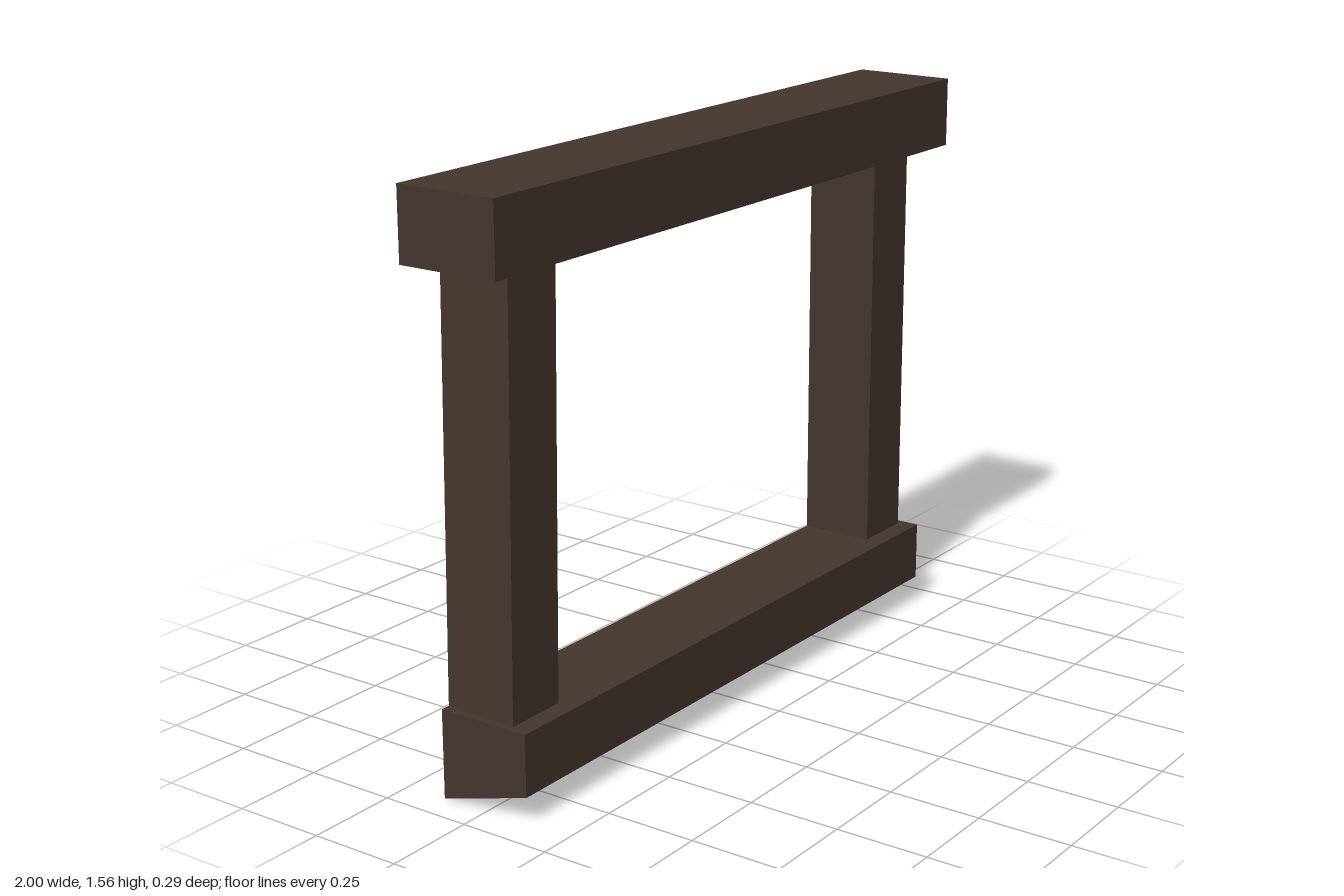
import * as THREE from 'three';

export function createModel() {
  const model = new THREE.Group();
  const wood = new THREE.MeshStandardMaterial({ color: 0x44362e });
  wood.name = 'dark wood';

  // A beam is a box whose corners may be shifted by a rule.
  function beam(name, [x0, x1], [y0, y1], [z0, z1], shift) {
    const geometry = new THREE.BoxGeometry(x1 - x0, y1 - y0, z1 - z0);
    geometry.translate((x0 + x1) / 2, (y0 + y1) / 2, (z0 + z1) / 2);
    if (shift) {
      const pos = geometry.attributes.position;
      const v = new THREE.Vector3();
      for (let i = 0; i < pos.count; i++) {
        v.fromBufferAttribute(pos, i);
        shift(v);
        pos.setXYZ(i, v.x, v.y, v.z);
      }
      geometry.computeVertexNormals();
    }
    const mesh = new THREE.Mesh(geometry, wood);
    mesh.name = name;
    model.add(mesh);
  }

  // Lintel across the top
  beam('lintel', [-1, 1], [1.37, 1.56], [-0.143, 0.143]);

  // Sill with an underside that rises towards the front
  beam('sill', [-0.92, 0.915], [0, 0.24], [-0.131, 0.131], (v) => {
    if (v.y < 0.1 && v.z > 0) v.y = 0.075;
  });

  // Upright post, and a second one that leans and is slightly skewed
  beam('leftPost', [0.718, 0.893], [0.24, 1.37], [-0.131, 0.078]);
  beam('rightPost', [-0.9, -0.725], [0.24, 1.37], [-0.131, 0.078], (v) => {
    if (v.y > 1) v.x += 0.02;
    if (v.z < 0) v.x += 0.006;
  });

  return model;
}
